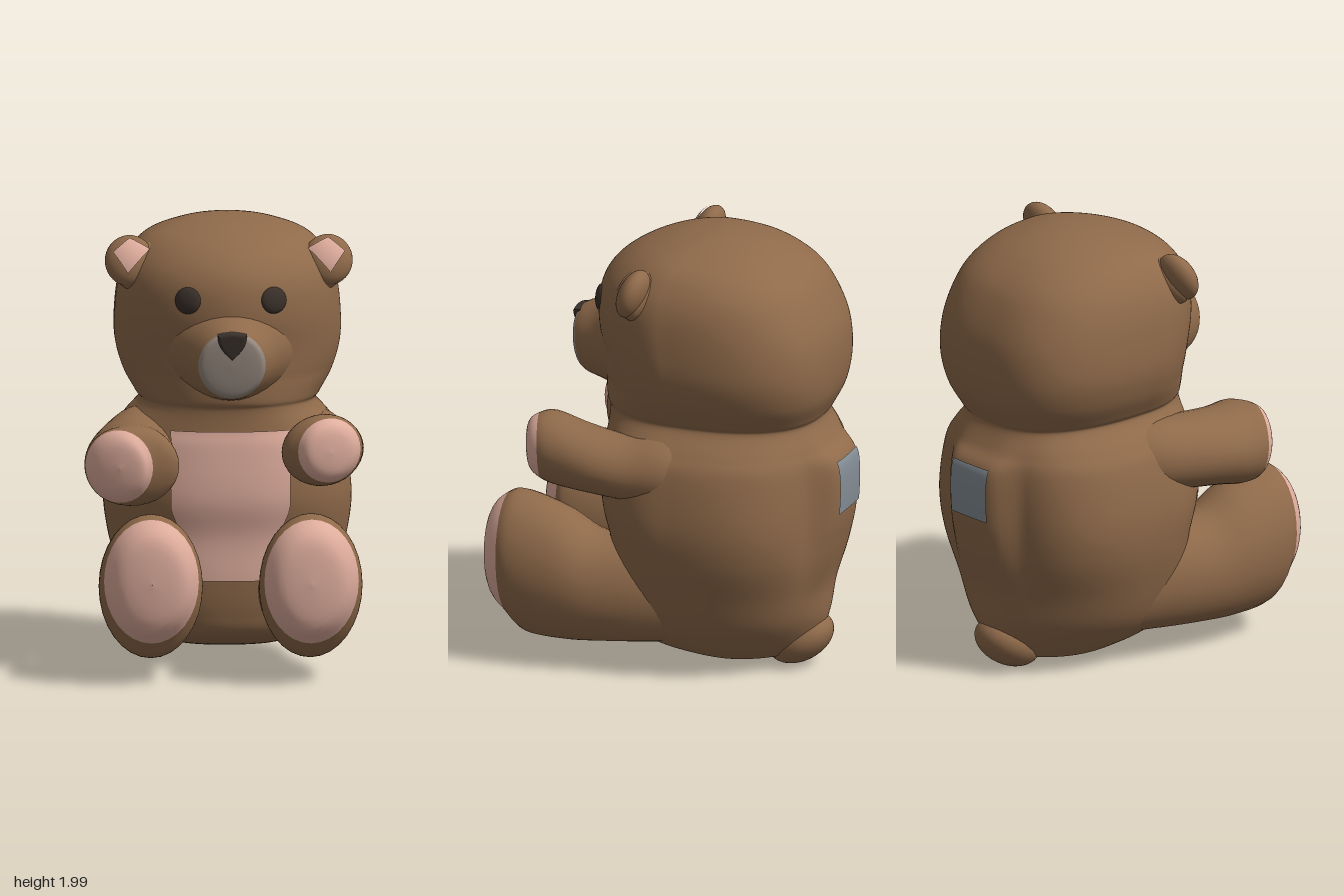
import * as THREE from 'three';

const CX = 0.035; // axis of the torso and head
const FUR = 0x8f6a4a, PINK = 0xe0ae9e, MUZZLE = 0x978a80, DARK = 0x3a302a, PLATE = 0x858e96;

const mats = {};
function mesh(name, geo, color) {
  mats[color] ??= new THREE.MeshStandardMaterial({ color, roughness: 0.8 });
  const m = new THREE.Mesh(geo, mats[color]);
  m.name = name;
  return m;
}

// Smoothly interpolated row of a cross-section table at position u
function rowAt(rows, u) {
  const n = rows.length - 1, i = Math.min(Math.floor(u), n - 1), t = u - i;
  const r = k => rows[THREE.MathUtils.clamp(i + k, 0, n)];
  return rows[0].map((_, c) => {
    const a = r(-1)[c], b = r(0)[c], d = r(1)[c], e = r(2)[c];
    const m0 = (d - a) / 2, m1 = (e - b) / 2, t2 = t * t, t3 = t2 * t;
    return (2 * t3 - 3 * t2 + 1) * b + (t3 - 2 * t2 + t) * m0 + (3 * t2 - 2 * t3) * d + (t3 - t2) * m1;
  });
}

// Closed-ring surface from point(u, angle)
function loft(point, u0, u1, nu, na) {
  const pos = [], idx = [];
  for (let i = 0; i <= nu; i++)
    for (let j = 0; j < na; j++)
      pos.push(...point(u0 + (u1 - u0) * i / nu, j / na * Math.PI * 2));
  for (let i = 0; i < nu; i++)
    for (let j = 0; j < na; j++) {
      const a = i * na + j, b = i * na + (j + 1) % na;
      idx.push(a, a + na, b, b, a + na, b + na);
    }
  const g = new THREE.BufferGeometry();
  g.setAttribute('position', new THREE.Float32BufferAttribute(pos, 3));
  g.setIndex(idx);
  g.computeVertexNormals();
  return g;
}

// Torso and head: y, half width, front z, back z, back hump, back roundness
const BODY = [
  [0.04, 0.0005, -0.3995, -0.4005, 0, 1.6], [0.06, 0.2, -0.15, -0.53, 0, 1.6], [0.1, 0.29, 0.08, -0.6, 0, 1.6],
  [0.16, 0.36, 0.21, -0.65, 0, 1.65], [0.26, 0.43, 0.25, -0.685, 0, 1.8], [0.41, 0.485, 0.27, -0.69, 0.01, 2.1],
  [0.6, 0.535, 0.28, -0.7, 0.05, 2.6], [0.78, 0.55, 0.32, -0.705, 0.08, 2.8], [1.0, 0.515, 0.32, -0.71, 0.075, 2.6],
  [1.09, 0.465, 0.31, -0.695, 0.02, 2.5], [1.18, 0.39, 0.31, -0.665, 0, 2.5], [1.22, 0.41, 0.33, -0.68, 0, 2.6],
  [1.32, 0.465, 0.34, -0.725, 0, 2.7], [1.45, 0.5, 0.35, -0.74, 0, 2.8], [1.6, 0.5, 0.375, -0.725, 0, 2.8],
  [1.74, 0.48, 0.36, -0.67, 0, 2.7], [1.84, 0.435, 0.3, -0.6, 0, 2.6], [1.92, 0.355, 0.19, -0.49, 0, 2.4],
  [1.97, 0.225, 0.05, -0.37, 0, 2.2], [1.993, 0.11, -0.08, -0.26, 0, 2], [2, 0.0005, -0.1695, -0.1705, 0, 2],
];
// Depth of the body skin at sideways offset x; side +1 is front, -1 back
function bodyZ(row, u, x, side) {
  const [, hw, zf, zb, hump, nBack] = row;
  const nFront = THREE.MathUtils.lerp(2.3, 1.85, THREE.MathUtils.clamp((u - 10) / 2, 0, 1));
  const n = side > 0 ? nFront : nBack;
  const k = Math.pow(Math.max(0, 1 - Math.pow(Math.abs(x) / hw, n)), 1 / n);
  const mid = zb + 0.59 * (zf - zb), reach = side > 0 ? zf - mid : zb - mid;
  const bump = side < 0 ? hump * (1 - THREE.MathUtils.smoothstep(Math.abs(x), 0.11, 0.24)) : 0;
  return mid + k * reach - bump;
}
function bodyPoint(u, a) {
  const row = rowAt(BODY, u), s = Math.sin(a), x = row[1] * Math.cos(a);
  return [CX + x, row[0], bodyZ(row, u, x, s >= 0 ? 1 : -1)];
}
// Patch lying on the body skin between rows u0 and u1
function bodyPatch(u0, u1, halfWidth, side) {
  const g = new THREE.PlaneGeometry(2, 1, 20, 24), p = g.attributes.position;
  for (let i = 0; i < p.count; i++) {
    const u = u0 + (u1 - u0) * (p.getY(i) + 0.5), row = rowAt(BODY, u);
    const x = p.getX(i) * side * halfWidth(row[0]);
    p.setXYZ(i, CX + x, row[0], bodyZ(row, u, x, side) + side * 0.008);
  }
  g.computeVertexNormals();
  return g;
}

// Limb along +z from rows x, y, z, rx, ry; kx and ky slant the rings.
// The last rows, from index cut on, take the pad colour.
function limb(name, rows, cut, kx, ky, padColor) {
  const point = (u, a) => {
    const [x, y, z, rx, ry] = rowAt(rows, u);
    const dx = rx * Math.cos(a), dy = -ry * Math.sin(a);
    return [x + dx, y + dy, z + kx * dx + ky * dy];
  };
  const g = new THREE.Group(), end = rows.length - 1;
  g.name = name;
  g.add(mesh(name + 'Fur', loft(point, 0, cut, cut * 6, 32), FUR));
  g.add(mesh(name + 'Pad', loft(point, cut, end, (end - cut) * 5, 32), padColor));
  return g;
}

function ellipsoid(name, rx, ry, rz, color) {
  return mesh(name, new THREE.SphereGeometry(1, 28, 20).scale(rx, ry, rz), color);
}

// Ear with a thick root and a four-cornered pink lining on its front
function ear(name, s) {
  const g = new THREE.Group(), R = [0.11, 0.115, 0.062];
  g.name = name;
  const root = ellipsoid(name + 'Root', 0.14, 0.1, 0.07, FUR);
  root.position.set(-s * 0.07, -0.02, -0.025);
  root.rotation.z = -s * 0.5;
  g.add(ellipsoid(name + 'Shell', ...R, FUR), root);
  const geo = new THREE.PlaneGeometry(1, 1, 10, 10), p = geo.attributes.position;
  const [A, B, C, D] = [[-0.075, 0.03], [0, 0.095], [0.09, 0.045], [-0.01, -0.07]];
  for (let i = 0; i < p.count; i++) {
    const a = p.getX(i) + 0.5, b = p.getY(i) + 0.5;
    const mix = c => (1 - b) * ((1 - a) * A[c] + a * D[c]) + b * ((1 - a) * B[c] + a * C[c]);
    const x = mix(0), y = mix(1);
    const z = R[2] * Math.sqrt(Math.max(0, 1 - (x / R[0]) ** 2 - (y / R[1]) ** 2));
    p.setXYZ(i, -s * x, y, Math.max(z, 0.035) + 0.008);
  }
  if (s > 0) geo.index.array.reverse();
  geo.computeVertexNormals();
  g.add(mesh(name + 'Lining', geo, PINK));
  g.position.set(CX + s * 0.44, 1.82, 0.065);
  g.rotation.x = -0.35;
  return g;
}

export function createModel() {
  const bear = new THREE.Group();
  bear.name = 'teddyBear';

  // Torso and head skin, belly panel, back plate
  bear.add(mesh('torsoAndHead', loft(bodyPoint, 0, BODY.length - 1, 140, 128), FUR));
  bear.add(mesh('bellyPanel', bodyPatch(5, 8.98, y => Math.min(0.265, 0.13 + (y - 0.41) * 0.42), 1), PINK));
  bear.add(mesh('backPlate', bodyPatch(7, 8.2, () => 0.115, -1), PLATE));

  // Arms, posed slightly differently, sinking into the shoulders
  bear.add(limb('rightArm', [
    [-0.26, 1.0, -0.32, 0.05, 0.08], [-0.33, 0.995, -0.1, 0.14, 0.155], [-0.38, 0.98, 0.1, 0.17, 0.165],
    [-0.405, 0.965, 0.28, 0.195, 0.17], [-0.41, 0.955, 0.4, 0.205, 0.183], [-0.465, 0.96, 0.465, 0.148, 0.165],
    [-0.465, 0.96, 0.515, 0.1, 0.11], [-0.465, 0.96, 0.53, 0.0005, 0.0005]], 5, 0.3, 0.08, PINK));
  bear.add(limb('leftArm', [
    [0.33, 0.99, -0.32, 0.05, 0.08], [0.4, 0.985, -0.1, 0.14, 0.155], [0.44, 0.98, 0.1, 0.155, 0.145],
    [0.445, 1.0, 0.28, 0.18, 0.15], [0.44, 1.025, 0.44, 0.18, 0.163], [0.465, 1.035, 0.515, 0.14, 0.145],
    [0.47, 1.035, 0.565, 0.095, 0.1], [0.47, 1.035, 0.58, 0.0005, 0.0005]], 5, -0.3, 0.05, PINK));

  // Legs with oval soles, sinking into the hips
  for (const [name, x, dz] of [['rightLeg', -0.33, -0.02], ['leftLeg', 0.38, 0]]) {
    const s = Math.sign(x);
    bear.add(limb(name, [
      [x - s * 0.18, 0.36, -0.45, 0.03, 0.08], [x - s * 0.11, 0.37, -0.2, 0.15, 0.21],
      [x - s * 0.055, 0.375, 0.02, 0.185, 0.24], [x - s * 0.015, 0.375, 0.25, 0.205, 0.255],
      [x, 0.415, 0.42, 0.22, 0.305], [x, 0.445, 0.6, 0.23, 0.325], [x, 0.475, 0.69 + dz, 0.21, 0.28],
      [x, 0.475, 0.77 + dz, 0.14, 0.19], [x, 0.475, 0.79 + dz, 0.0005, 0.0005]], 6, -s * 0.06, 0.04, PINK));
  }

  // Snout flaring into the face, and nose
  bear.add(limb('snout', [
    [CX, 1.45, 0.12, 0.37, 0.28], [CX, 1.435, 0.27, 0.27, 0.225], [CX, 1.42, 0.36, 0.205, 0.188],
    [CX, 1.41, 0.46, 0.15, 0.152], [CX, 1.41, 0.482, 0.11, 0.11], [CX, 1.41, 0.488, 0.0005, 0.0005]],
  3, 0, 0.15, MUZZLE));
  const tri = new THREE.Shape();
  tri.moveTo(-0.05, 0.04);
  tri.quadraticCurveTo(0, 0.055, 0.05, 0.04);
  tri.quadraticCurveTo(0.05, 0, 0, -0.05);
  tri.quadraticCurveTo(-0.05, 0, -0.05, 0.04);
  const nose = mesh('nose', new THREE.ExtrudeGeometry(tri, {
    depth: 0.03, bevelEnabled: true, bevelThickness: 0.012, bevelSize: 0.014, bevelSegments: 4, curveSegments: 8,
  }), DARK);
  nose.position.set(CX, 1.505, 0.463);
  nose.rotation.x = 0.15;
  bear.add(nose);

  // Eyes and ears
  for (const [side, s] of [['right', -1], ['left', 1]]) {
    const eye = ellipsoid(side + 'Eye', 0.062, 0.06, 0.025, DARK);
    eye.position.set(CX + s * 0.19, 1.68, 0.322);
    eye.rotation.set(-0.1, s * 0.45, 0, 'YXZ');
    bear.add(eye, ear(side + 'Ear', s));
  }

  // Tail
  const tail = ellipsoid('tail', 0.145, 0.105, 0.16, FUR);
  tail.position.set(CX, 0.13, -0.56);
  tail.rotation.x = 0.55;
  bear.add(tail);
  return bear;
}
